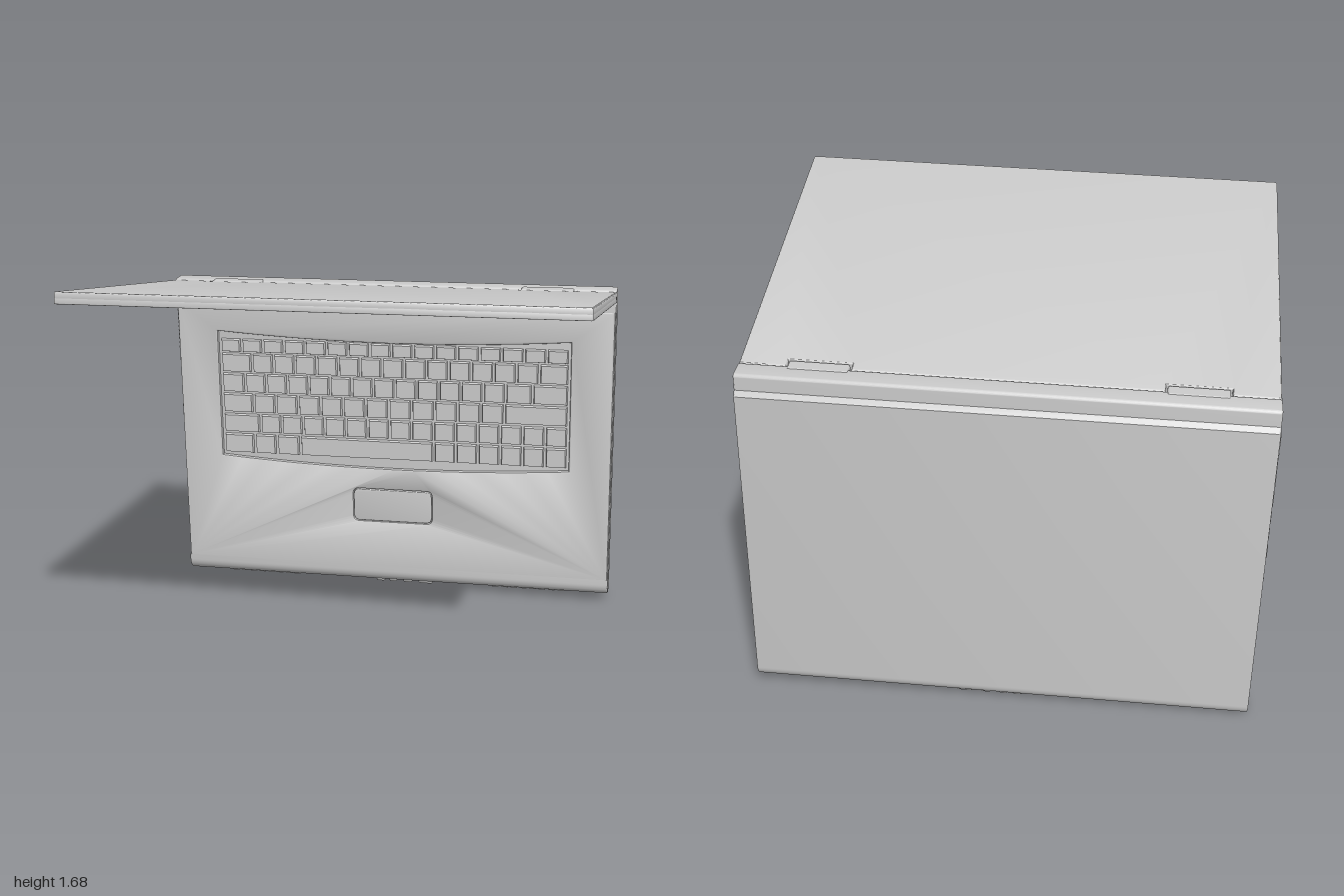
import * as THREE from 'three';
import { toCreasedNormals } from 'three/addons/utils/BufferGeometryUtils.js';
import { RoundedBoxGeometry } from 'three/addons/geometries/RoundedBoxGeometry.js';

const HALF = 0.985;            // half width of the laptop
const DECK = -0.637;           // z of the keyboard deck
const FLOOR = -0.655;          // z of the keyboard tray floor
const grey = new THREE.MeshStandardMaterial({ color: 0xcccccc });

function add(parent, name, geometry, x = 0, y = 0, z = 0) {
  const mesh = new THREE.Mesh(geometry, grey);
  mesh.name = name;
  mesh.position.set(x, y, z);
  parent.add(mesh);
  return mesh;
}

function subgroup(parent, name) {
  const g = new THREE.Group();
  g.name = name;
  parent.add(g);
  return g;
}

// Rounded rectangle traced on a Shape or a Path
function roundRect(target, x0, y0, x1, y1, r) {
  target.moveTo(x0 + r, y0);
  target.lineTo(x1 - r, y0);
  target.quadraticCurveTo(x1, y0, x1, y0 + r);
  target.lineTo(x1, y1 - r);
  target.quadraticCurveTo(x1, y1, x1 - r, y1);
  target.lineTo(x0 + r, y1);
  target.quadraticCurveTo(x0, y1, x0, y1 - r);
  target.lineTo(x0, y0 + r);
  target.quadraticCurveTo(x0, y0, x0 + r, y0);
  return target;
}

// Extrusion filling z = 0..depth, with its bevel kept inside the outline
function slab(shape, depth, bevel) {
  const geo = new THREE.ExtrudeGeometry(shape, {
    depth: depth - 2 * bevel, bevelThickness: bevel, bevelSize: bevel,
    bevelOffset: -bevel, bevelSegments: 3, curveSegments: 10,
  });
  geo.translate(0, 0, bevel);
  return toCreasedNormals(geo, 0.6);
}

// Box whose front face is drawn in
function keyGeometry(w, h, d, inset) {
  const geo = new THREE.BoxGeometry(w, h, d);
  const p = geo.attributes.position;
  for (let i = 0; i < p.count; i++) {
    if (p.getZ(i) < 0) continue;
    p.setX(i, p.getX(i) - Math.sign(p.getX(i)) * inset);
    p.setY(i, p.getY(i) - Math.sign(p.getY(i)) * inset);
  }
  geo.computeVertexNormals();
  return geo;
}

function buildBase(root) {
  const base = subgroup(root, 'base');

  // Body: side profile (z, y) swept across the width
  const s = new THREE.Shape();
  s.moveTo(DECK, 0.08);
  s.lineTo(FLOOR, 0.08);
  s.lineTo(FLOOR, 1.308);
  s.lineTo(-0.638, 1.312);
  s.lineTo(-0.638, 1.395);
  s.quadraticCurveTo(-0.638, 1.41, -0.653, 1.41);
  s.lineTo(-0.715, 1.41);
  s.quadraticCurveTo(-0.73, 1.41, -0.73, 1.395);
  s.lineTo(-0.73, 1.345);
  s.lineTo(-0.745, 1.325);
  s.lineTo(-0.745, 0.055);
  s.absellipse(-0.691, 0.055, 0.054, 0.055, Math.PI, 2 * Math.PI, false);
  s.closePath();
  const body = slab(s, 2 * HALF, 0.006);
  body.rotateY(-Math.PI / 2);
  add(base, 'body', body, HALF);

  // Deck plate with openings for keyboard and touchpad
  const d = new THREE.Shape();
  const edge = HALF - 0.011;
  d.moveTo(-edge, 0.08);
  d.lineTo(edge, 0.08);
  d.lineTo(edge, 1.306);
  d.lineTo(-edge, 1.306);
  d.closePath();
  const tray = new THREE.Path();
  tray.moveTo(-0.805, 0.58);
  tray.quadraticCurveTo(0, 0.515, 0.805, 0.58);
  tray.lineTo(0.805, 1.182);
  tray.quadraticCurveTo(0, 1.118, -0.805, 1.182);
  tray.closePath();
  d.holes.push(tray, roundRect(new THREE.Path(), -0.19, 0.292, 0.19, 0.463, 0.035));
  const deck = new THREE.ExtrudeGeometry(d, {
    depth: 0.01, bevelThickness: 0.01, bevelSize: 0.008, bevelSegments: 2, curveSegments: 16,
  });
  add(base, 'deck', toCreasedNormals(deck, 0.6), 0, 0, DECK - 0.02);

  const pad = slab(roundRect(new THREE.Shape(), -0.18, 0.302, 0.18, 0.453, 0.028), 0.016, 0.003);
  add(base, 'touchpad', pad, 0, 0, DECK - 0.018);

  // Hinge knuckles
  for (const side of [-1, 1]) {
    add(base, 'hingeKnuckle', new RoundedBoxGeometry(0.226, 0.06, 0.06, 2, 0.008),
      side * 0.69, 1.383, -0.634);
  }
  return base;
}

function buildKeyboard(root) {
  const keyboard = subgroup(root, 'keyboard');
  const ones = n => Array(n).fill(1);
  // Each row: bottom, top, relative key widths from -x to +x
  const rows = [
    [1.076, 1.138, ones(16)],
    [0.982, 1.070, [1.45, ...ones(13), 1.3]],
    [0.888, 0.976, [1.1, ...ones(12), 1.2, 1.6]],
    [0.792, 0.881, [1.4, ...ones(11), 2.7, 1].slice(0, 13)],
    [0.697, 0.784, [1.75, ...ones(14)]],
    [0.598, 0.689, [1.45, 1.05, 1.1, 6.2, ...ones(6)]],
  ];
  const left = -0.79, width = 1.58, gap = 0.009;
  for (const [y0, y1, widths] of rows) {
    const unit = width / widths.reduce((a, b) => a + b, 0);
    let x = left;
    for (const w of widths) {
      const geo = keyGeometry(w * unit - gap, y1 - y0, 0.018, 0.005);
      add(keyboard, 'key', geo, x + w * unit / 2, (y0 + y1) / 2, FLOOR + 0.006);
      x += w * unit;
    }
  }
}

function buildLid(root) {
  const lid = subgroup(root, 'lid');
  lid.position.set(0, 1.405, -0.632);
  lid.rotation.x = -THREE.MathUtils.degToRad(10.1);
  const length = 1.392;

  // Outline in (x, distance from hinge), notched around the knuckles
  const outline = () => {
    const s = new THREE.Shape();
    s.moveTo(-HALF, 0);
    for (const c of [-0.69, 0.69]) {
      s.lineTo(c - 0.12, 0);
      s.lineTo(c - 0.12, 0.036);
      s.lineTo(c + 0.12, 0.036);
      s.lineTo(c + 0.12, 0);
    }
    s.lineTo(HALF, 0);
    s.lineTo(HALF, length - 0.012);
    s.quadraticCurveTo(HALF, length, HALF - 0.012, length);
    s.lineTo(-HALF + 0.012, length);
    s.quadraticCurveTo(-HALF, length, -HALF, length - 0.012);
    s.closePath();
    return s;
  };
  const shell = slab(outline(), 0.03, 0.006);
  shell.rotateX(Math.PI / 2);
  add(lid, 'lidShell', shell);

  const frame = outline();
  frame.holes.push(roundRect(new THREE.Path(), -0.86, 0.14, 0.86, 1.34, 0.006));
  const bezel = slab(frame, 0.026, 0.003);
  bezel.rotateX(Math.PI / 2);
  add(lid, 'screenBezel', bezel, 0, -0.02, 0);

  add(lid, 'screen', new THREE.BoxGeometry(1.72, 0.006, 1.2), 0, -0.031, 0.74);
}

function buildDetails(root) {
  const details = subgroup(root, 'edgeDetails');

  // Latch and buttons on the front edge
  for (const [x, w] of [[-0.067, 0.045], [-0.01, 0.04], [0.06, 0.045], [0.145, 0.07]]) {
    add(details, 'edgeButton', new RoundedBoxGeometry(w, 0.03, 0.045, 3, 0.012), x, 0.006, -0.691);
  }
  // Speaker slots along the front edge
  for (const side of [-1, 1]) {
    for (let i = 0; i < 8; i++) {
      add(details, 'speakerSlot', new THREE.BoxGeometry(0.03, 0.008, 0.02),
        side * (0.47 + i * 0.043), 0, -0.691);
    }
  }
  // Cooling vent and ports on one side
  for (let i = 0; i < 12; i++) {
    add(details, 'ventSlat', new THREE.BoxGeometry(0.008, 0.009, 0.06), -HALF, 1.09 + i * 0.019, -0.69);
  }
  for (const [y, h, d] of [[1.03, 0.07, 0.05], [0.94, 0.06, 0.035], [0.87, 0.05, 0.035], [0.79, 0.06, 0.05], [0.66, 0.03, 0.03]]) {
    const port = roundRect(new THREE.Shape(), -d / 2, -h / 2, d / 2, h / 2, 0.006);
    port.holes.push(roundRect(new THREE.Path(), -d / 2 + 0.006, -h / 2 + 0.006, d / 2 - 0.006, h / 2 - 0.006, 0.003));
    const geo = new THREE.ExtrudeGeometry(port, { depth: 0.008, bevelEnabled: false, curveSegments: 3 });
    geo.rotateY(-Math.PI / 2);
    add(details, 'port', geo, -HALF + 0.004, y, -0.69);
  }
}

export function createModel() {
  const model = new THREE.Group();
  model.name = 'laptop';
  // The whole laptop leans slightly to one side
  const tilted = subgroup(model, 'tiltedLaptop');
  tilted.rotation.z = 0.0178;
  tilted.position.set(0.0125, 0.0175, 0);
  buildBase(tilted);
  buildKeyboard(tilted);
  buildLid(tilted);
  buildDetails(tilted);
  return model;
}
